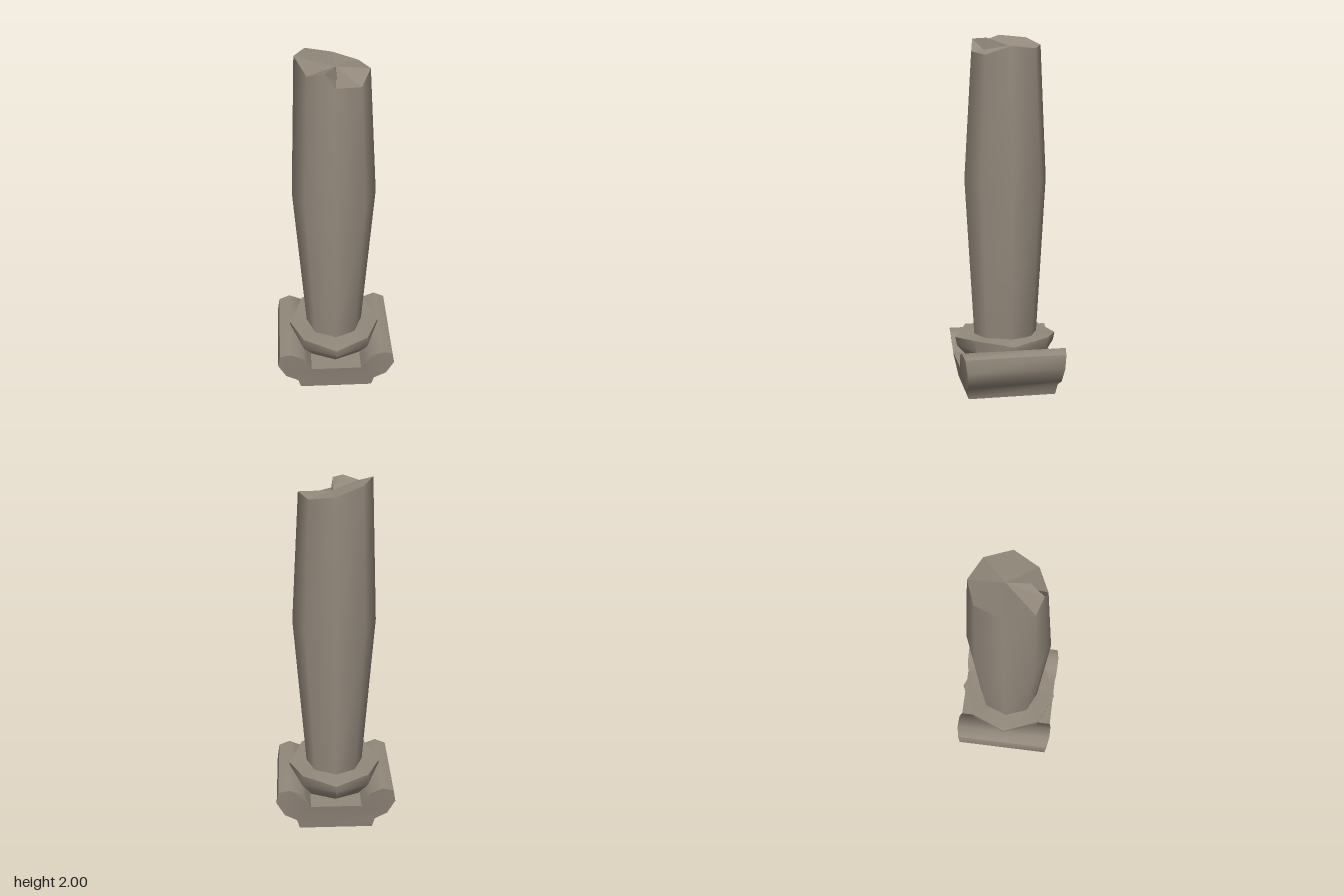
import * as THREE from 'three';
import { toCreasedNormals } from 'three/addons/utils/BufferGeometryUtils.js';

const CREASE = 0.9;

function fromTriangles(tris) {
  const geo = new THREE.BufferGeometry();
  geo.setAttribute('position', new THREE.Float32BufferAttribute(tris.flat(2), 3));
  geo.computeVertexNormals();
  return geo;
}

// Skin closed rings of points, listed from bottom to top, running from +x towards +z
function loft(rings) {
  const tris = [];
  for (let r = 0; r < rings.length - 1; r++) {
    const lo = rings[r], up = rings[r + 1], n = lo.length;
    for (let i = 0; i < n; i++) {
      const j = (i + 1) % n;
      tris.push([lo[i], up[i], lo[j]], [lo[j], up[i], up[j]]);
    }
  }
  return toCreasedNormals(fromTriangles(tris), CREASE);
}

export function createModel() {
  const model = new THREE.Group();
  const stone = new THREE.MeshStandardMaterial({ color: 0x93897c });
  stone.name = 'stone';
  const add = (name, geo) => {
    const mesh = new THREE.Mesh(geo, stone);
    mesh.name = name;
    model.add(mesh);
  };

  // Scrolled base: mirrored profile, ends leaning inwards towards the bottom
  const half = [[0.21, 0], [0.225, 0.06], [0.295, 0.1], [0.34, 0.185], [0.328, 0.26],
    [0.265, 0.28], [0.195, 0.25], [0.168, 0.21], [0.145, 0.165]];
  const depths = [0.245, 0.257, 0.262, 0.27, 0.279, 0.29, 0.29, 0.288, 0.284];
  const outline = [...half, ...half.map(([x, y]) => [-x, y]).reverse()];
  const base = new THREE.ExtrudeGeometry(
    new THREE.Shape(outline.map(([x, y]) => new THREE.Vector2(x, y))),
    { depth: 1, bevelEnabled: false });
  const p = base.attributes.position;
  for (let i = 0; i < p.count; i++) {
    const k = half.findIndex(([x, y]) =>
      Math.abs(Math.abs(p.getX(i)) - x) < 1e-4 && Math.abs(p.getY(i) - y) < 1e-4);
    p.setZ(i, p.getZ(i) > 0.5 ? depths[k] : -depths[k]);
  }
  add('scrolledBase', toCreasedNormals(base, CREASE));

  // Octagonal collar, flaring upwards with raised diagonal corners
  const octagon = (rx, rz, y, raise = 0) => Array.from({ length: 8 }, (_, i) => {
    const a = i * Math.PI / 4;
    return [rx * Math.cos(a), y + (i % 2 ? raise : 0), rz * Math.sin(a)];
  });
  add('collar', loft([
    octagon(0.19, 0.2, 0.16),
    octagon(0.262, 0.28, 0.25),
    octagon(0.265, 0.29, 0.298, 0.025),
    octagon(0.15, 0.165, 0.315),
  ]));

  // Shaft: widest in the middle, ending at the broken rim
  const d = Math.SQRT1_2;
  const dirs = [[1, 0], [d, d], [0, 1], [-0.27, 0.89], [-d, d], [-1, 0], [-d, -d], [0, -1], [d, -d]];
  const ring = (rx, rz, y) => dirs.map(([x, z]) => [x * rx, y, z * rz]);
  const rim = [
    [0.19, 1.925, 0], [0.135, 1.88, 0.132], [0, 1.9, 0.19], [-0.055, 1.972, 0.176],
    [-0.143, 1.948, 0.145], [-0.205, 2, 0], [-0.145, 1.985, -0.145],
    [0, 1.94, -0.198], [0.137, 1.915, -0.14],
  ];
  add('shaft', loft([ring(0.163, 0.18, 0.305), ring(0.232, 0.232, 1.2), rim]));

  // Broken top: a high left side, a lower right side and the step between them
  const centre = [0.01, 1.933, -0.015], ridge = [0.003, 1.975, 0.105], foot = [0.012, 1.9, 0.112];
  const fan = (pts) => pts.slice(1).map((q, i) => [centre, q, pts[i]]);
  add('brokenTop', fromTriangles([
    ...fan([ridge, ...rim.slice(3), rim[0]]),
    ...fan([rim[0], rim[1], rim[2], foot]),
    [centre, ridge, foot],
    [foot, ridge, rim[3]],
    [foot, rim[3], rim[2]],
  ]));

  return model;
}
